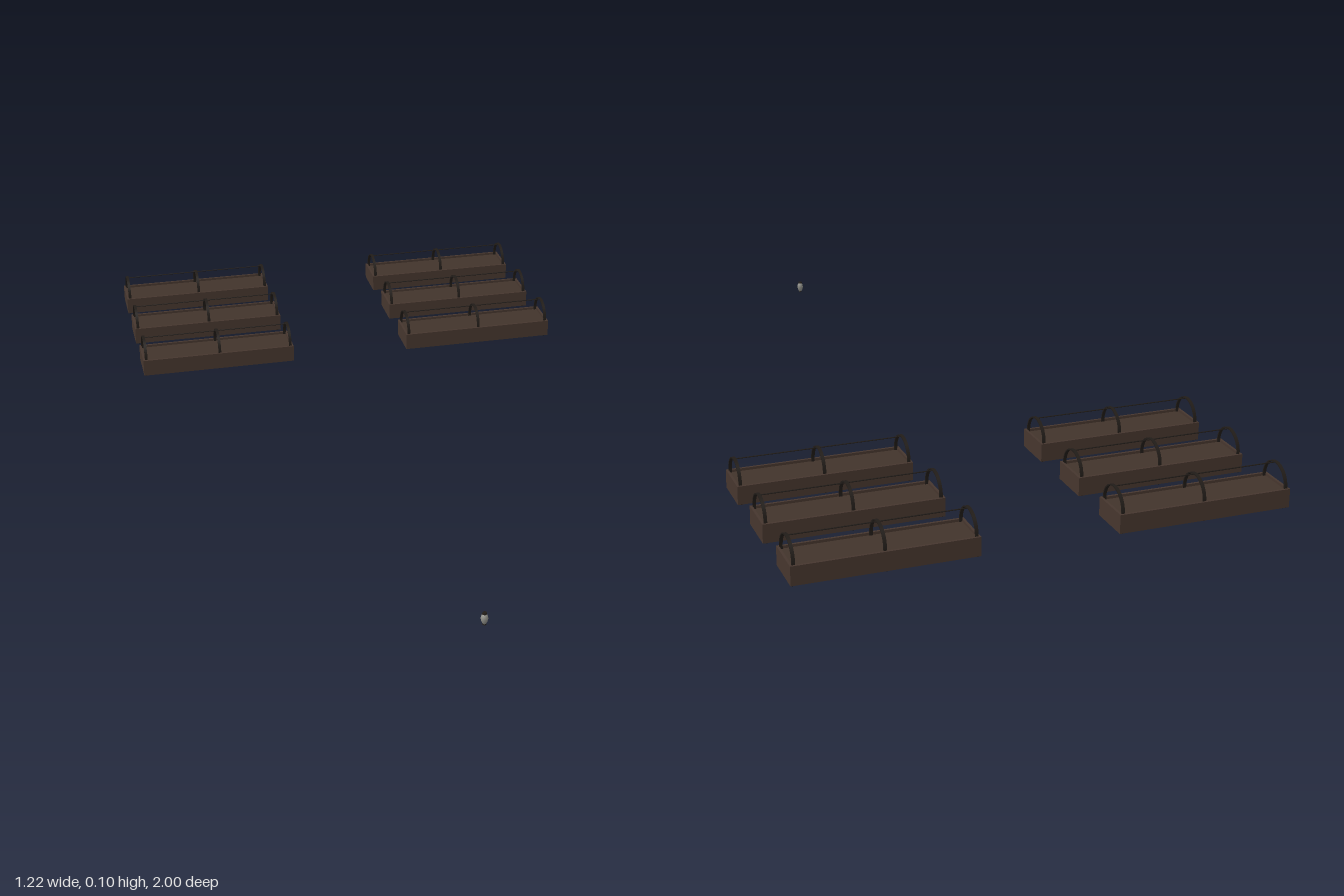
import * as THREE from 'three';

const mat = (name, color, side = THREE.FrontSide) => {
  const m = new THREE.MeshStandardMaterial({ color, side });
  m.name = name;
  return m;
};

export function createModel() {
  const wood = mat('dark wood', 0x46362e);
  const soil = mat('soil', 0x42342b);
  const iron = mat('dark metal', 0x211c18);
  const glass = mat('grey glass', 0x8f8f88);

  const add = (parent, name, geo, material, x = 0, y = 0, z = 0) => {
    const mesh = new THREE.Mesh(geo, material);
    mesh.name = name;
    mesh.position.set(x, y, z);
    parent.add(mesh);
    return mesh;
  };

  const L = 0.44, W = 0.11, T = 0.006, base = 0.003, top = 0.05;
  const wallH = top - base, wallY = (top + base) / 2;

  // Flat arched band with straight legs, extruded along the bed
  const R = 0.05, t = 0.003, bandW = 0.008;
  const band = new THREE.Shape();
  band.moveTo(R, 0);
  band.lineTo(R, top);
  band.absarc(0, top, R, 0, Math.PI, false);
  band.lineTo(-R, 0);
  band.lineTo(-R + t, 0);
  band.lineTo(-R + t, top);
  band.absarc(0, top, R - t, Math.PI, 0, true);
  band.lineTo(R - t, 0);
  band.closePath();
  const hoopGeo = new THREE.ExtrudeGeometry(band, { depth: bandW, bevelEnabled: false, curveSegments: 16 });
  hoopGeo.translate(0, 0, -bandW / 2).rotateY(Math.PI / 2);

  const longWall = new THREE.BoxGeometry(L, wallH, T);
  const endWall = new THREE.BoxGeometry(T, wallH, W - 2 * T);
  const soilGeo = new THREE.BoxGeometry(L - 2 * T, 0.04, W - 2 * T);
  const poleGeo = new THREE.CylinderGeometry(0.0015, 0.0015, 0.424, 8).rotateZ(Math.PI / 2);

  // One raised bed with its soil, hoops and ridge pole
  const makeBed = () => {
    const bed = new THREE.Group();
    bed.name = 'raisedBed';
    for (const s of [-1, 1]) {
      add(bed, 'longWall', longWall, wood, 0, wallY, s * (W - T) / 2);
      add(bed, 'endWall', endWall, wood, s * (L - T) / 2, wallY, 0);
    }
    add(bed, 'soil', soilGeo, soil, 0, base + 0.0205, 0);
    for (const x of [-0.211, 0.003, 0.211]) add(bed, 'hoop', hoopGeo, iron, x, 0, 0);
    add(bed, 'ridgePole', poleGeo, iron, 0, 0.0985, 0);
    return bed;
  };

  const model = new THREE.Group();
  model.name = 'gardenBeds';
  for (const x of [-0.39, 0.39]) {
    for (const z of [-0.5, -0.722, -0.945]) {
      const bed = makeBed();
      bed.position.set(x, 0, z);
      model.add(bed);
    }
  }

  // Small lantern standing in front of the beds
  const lantern = new THREE.Group();
  lantern.name = 'lantern';
  lantern.position.set(0, 0, 0.991);
  model.add(lantern);
  const profile = [[0, 0.006], [0.004, 0.006], [0.007, 0.012], [0.009, 0.02], [0.008, 0.026], [0.005, 0.032], [0, 0.032]];
  add(lantern, 'lanternBody', new THREE.LatheGeometry(profile.map(p => new THREE.Vector2(...p)), 12), glass);
  add(lantern, 'lanternFoot', new THREE.CylinderGeometry(0.004, 0.005, 0.003, 12), iron, 0, 0.0055, 0);
  add(lantern, 'lanternCap', new THREE.CylinderGeometry(0.005, 0.006, 0.004, 12), iron, 0, 0.034, 0);

  return model;
}
